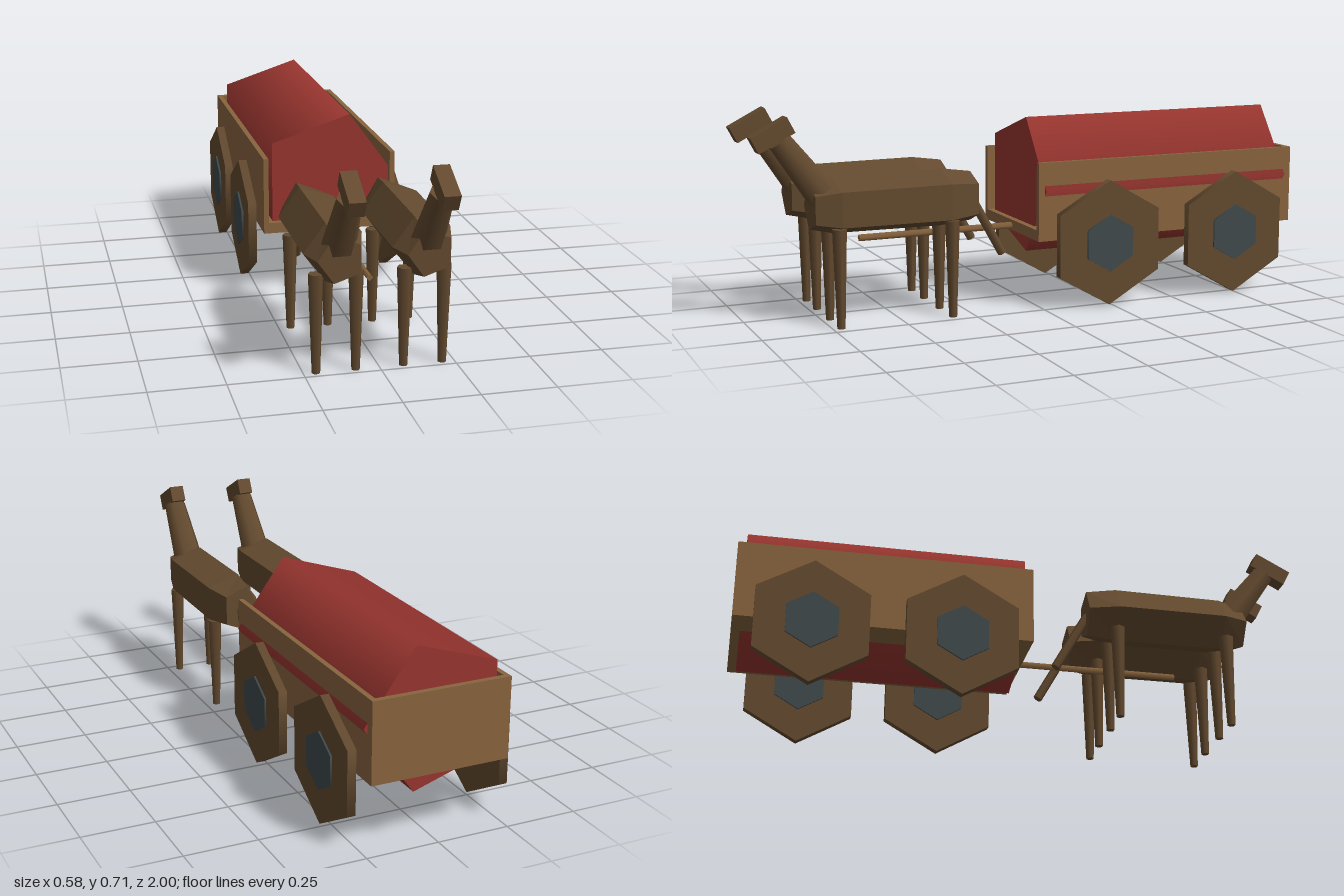
import * as THREE from 'three';

const material = (name, color, flatShading = false) => {
  const m = new THREE.MeshStandardMaterial({ color, flatShading });
  m.name = name;
  return m;
};

export function createModel() {
  const lightWood = material('light wood', 0x88643e);
  const darkBrown = material('dark brown', 0x634a2f);
  const red = material('red cloth', 0x98352f);
  const slate = material('slate hub', 0x3f494c);

  const add = (parent, name, geometry, mat, x = 0, y = 0, z = 0) => {
    const mesh = new THREE.Mesh(geometry, mat);
    mesh.name = name;
    mesh.position.set(x, y, z);
    parent.add(mesh);
    return mesh;
  };

  // tapered rod running between two points in the x = 0 plane
  const rod = (parent, name, from, to, r0, r1, sides, mat, theta = 0) => {
    const a = new THREE.Vector3(0, ...from), b = new THREE.Vector3(0, ...to);
    const dir = b.clone().sub(a);
    const geo = new THREE.CylinderGeometry(r1, r0, dir.length(), sides, 1, false, theta);
    const mesh = add(parent, name, geo, mat);
    mesh.position.copy(a).add(b).multiplyScalar(0.5);
    mesh.quaternion.setFromUnitVectors(new THREE.Vector3(0, 1, 0), dir.normalize());
    return mesh;
  };

  const model = new THREE.Group();
  model.name = 'horseDrawnWagon';

  // Wagon bed, open at the front
  const wagon = new THREE.Group();
  wagon.name = 'wagon';
  model.add(wagon);
  add(wagon, 'floor', new THREE.BoxGeometry(0.476, 0.038, 1.015), lightWood, 0, 0.259, -0.49);
  add(wagon, 'backWall', new THREE.BoxGeometry(0.476, 0.275, 0.02), lightWood, 0, 0.3775, -0.99);
  for (const s of [-1, 1]) {
    add(wagon, 'sideWall', new THREE.BoxGeometry(0.018, 0.275, 1.018), lightWood, s * 0.23, 0.3775, -0.491);
  }

  // Five-sided canopy
  const canopy = new THREE.CylinderGeometry(0.252, 0.252, 0.965, 5, 1, false, Math.PI / 2);
  add(wagon, 'canopy', canopy.rotateX(Math.PI / 2), red, 0, 0.416, -0.4875);

  // Draw pole
  rod(wagon, 'drawPole', [0.257, -0.01], [0.257, 0.59], 0.012, 0.012, 4, lightWood);

  // Hexagonal wheels with hubs
  const disc = (r, w) =>
    new THREE.CylinderGeometry(r, r, w, 6, 1, false, Math.PI / 6).rotateZ(Math.PI / 2);
  for (const s of [-1, 1]) {
    for (const z of [-0.235, -0.74]) {
      add(wagon, 'wheel', disc(0.221, 0.03), darkBrown, s * 0.27, 0.225, z);
      add(wagon, 'hub', disc(0.101, 0.043), slate, s * 0.27, 0.225, z);
    }
  }

  // Horse body: five-sided barrel with narrowed chest and rump
  const rings = [
    [0.225, 0.68, 0.86],
    [0.33, 1, 1],
    [0.715, 1, 0.97],
    [0.8, 0.74, 0.76],
  ];
  const bodyGeo = new THREE.CylinderGeometry(0.104, 0.104, 3, 5, 3, false, -Math.PI / 2);
  bodyGeo.rotateX(Math.PI / 2);
  const p = bodyGeo.attributes.position;
  for (let i = 0; i < p.count; i++) {
    const [z, sx, sy] = rings[Math.round(p.getZ(i) + 1.5)];
    p.setXYZ(i, p.getX(i) * sx, p.getY(i) * sy, z);
  }
  bodyGeo.computeVertexNormals();
  const bodyBrown = darkBrown.clone();
  bodyBrown.name = 'dark brown faceted';
  bodyBrown.flatShading = true;

  // Pair of horses
  for (const s of [-1, 1]) {
    const horse = new THREE.Group();
    horse.name = 'horse';
    horse.position.x = s * 0.144;
    model.add(horse);
    add(horse, 'body', bodyGeo, bodyBrown, 0, 0.4, 0);
    rod(horse, 'neck', [0.438, 0.757], [0.63, 0.9], 0.058, 0.042, 6, darkBrown, Math.PI / 6);
    const head = add(horse, 'head', new THREE.BoxGeometry(0.053, 0.058, 0.138), darkBrown, 0, 0.65, 0.925);
    head.rotation.x = 0.48;
    rod(horse, 'tail', [0.4, 0.232], [0.192, 0.115], 0.016, 0.016, 6, darkBrown);
    for (const x of [-0.065, 0.065]) {
      for (const z of [0.325, 0.722]) {
        add(horse, 'leg', new THREE.CylinderGeometry(0.025, 0.014, 0.335, 6, 1, false, Math.PI / 6), darkBrown, x, 0.1675, z);
      }
    }
  }
  return model;
}
